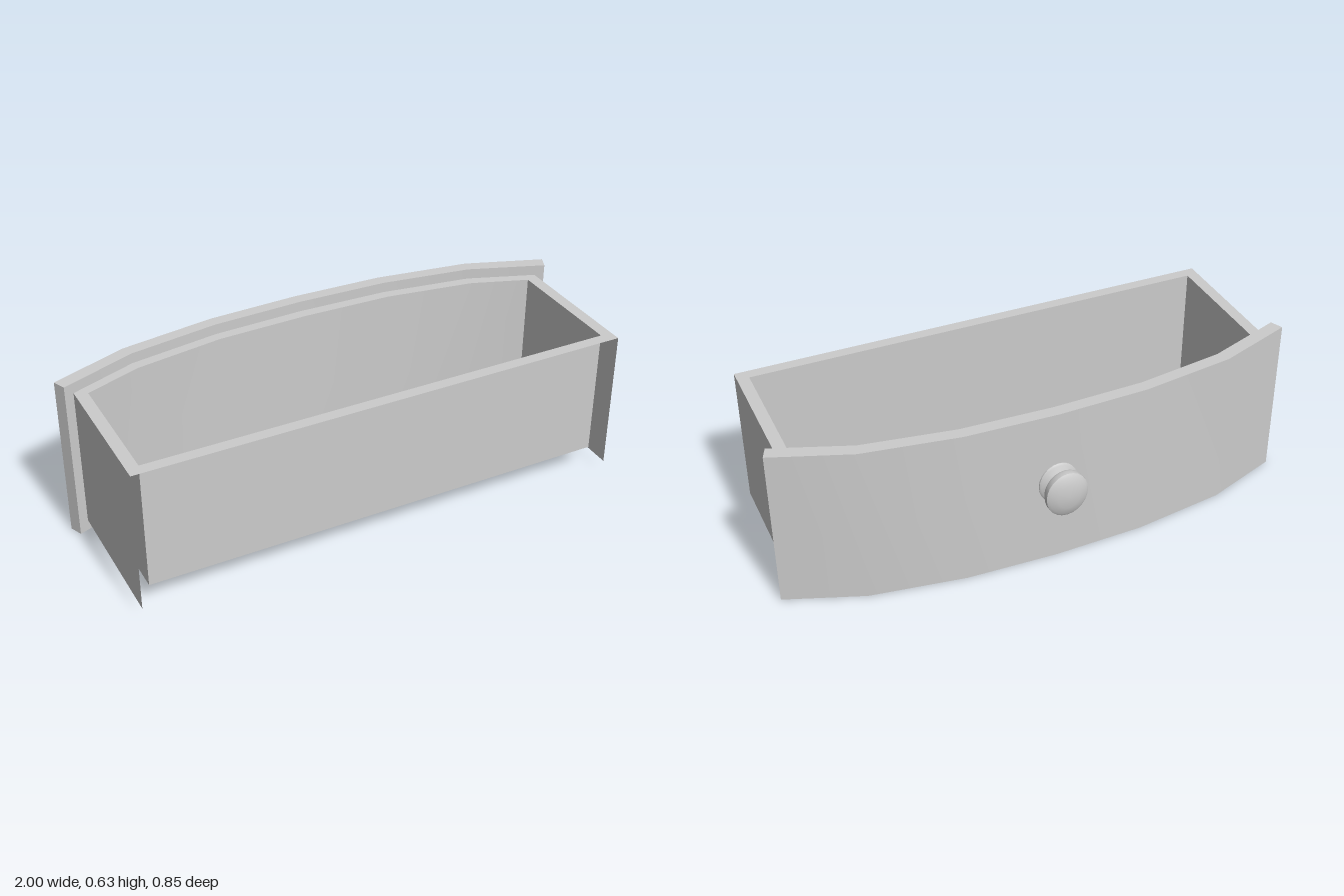
import * as THREE from 'three';
import { toCreasedNormals } from 'three/addons/utils/BufferGeometryUtils.js';

const material = new THREE.MeshStandardMaterial({ color: 0xcccccc, side: THREE.DoubleSide });

// Half outlines in plan as [x, z], from the middle outwards; mirrored to run from -x to +x
const mirror = (half) => [...half.slice(1).reverse().map(([x, z]) => [-x, z]), ...half];
const frontOuter = mirror([[0, -0.33], [0.35, -0.318], [0.71, -0.264], [1, -0.157]]);
const frontInner = mirror([[0, -0.282], [0.35, -0.27], [0.695, -0.217], [0.98, -0.11]]);
const rimOuter = mirror([[0, -0.282], [0.35, -0.27], [0.695, -0.217], [0.945, -0.123], [0.945, 0.427]]);
const rimInner = mirror([[0, -0.24], [0.35, -0.23], [0.69, -0.177], [0.9, -0.1], [0.9, 0.383]]);

const toPoints = (plan) => plan.map(([x, z]) => new THREE.Vector2(x, -z));

// Upright sheet following a plan outline between two heights
function wallSheet(plan, y0, y1) {
  const positions = [];
  for (let i = 0; i < plan.length - 1; i++) {
    const [[ax, az], [bx, bz]] = [plan[i], plan[i + 1]];
    positions.push(ax, y0, az, ax, y1, az, bx, y1, bz, ax, y0, az, bx, y1, bz, bx, y0, bz);
  }
  const geometry = new THREE.BufferGeometry();
  geometry.setAttribute('position', new THREE.Float32BufferAttribute(positions, 3));
  geometry.computeVertexNormals();
  return toCreasedNormals(geometry, 0.5);
}

// Horizontal sheet at a given height
function flatSheet(shape, y) {
  return new THREE.ShapeGeometry(shape).rotateX(-Math.PI / 2).translate(0, y, 0);
}

export function createModel() {
  const group = new THREE.Group();
  const add = (name, geometry) => {
    const mesh = new THREE.Mesh(geometry, material);
    mesh.name = name;
    group.add(mesh);
    return mesh;
  };

  // Bowed front panel
  const panel = new THREE.ExtrudeGeometry(
    new THREE.Shape(toPoints([...frontOuter, ...frontInner.slice().reverse()])),
    { depth: 0.63, bevelEnabled: false }
  ).rotateX(-Math.PI / 2);
  add('frontPanel', toCreasedNormals(panel, 0.5));

  // Top rim, with the tray opening cut out
  const rim = new THREE.Shape(toPoints(rimOuter));
  rim.holes.push(new THREE.Path(toPoints(rimInner)));
  add('rim', flatSheet(rim, 0.59));

  // Tray: inner walls and floor
  add('innerWalls', wallSheet([...rimInner, rimInner[0]], 0.095, 0.59));
  add('floor', flatSheet(new THREE.Shape(toPoints(rimInner)), 0.095));

  // Outer side sheets, hanging a little below the floor
  for (const [name, x] of [['leftSide', 0.945], ['rightSide', -0.945]]) {
    add(name, wallSheet([[x, -0.123], [x, 0.427]], 0.042, 0.59));
  }

  // Turned knob: flange, flared neck and domed cap as [radius, distance outwards]
  const profile = [
    [0.085, -0.005], [0.085, 0.002], [0.078, 0.008], [0.045, 0.014], [0.04, 0.018],
    [0.042, 0.032], [0.05, 0.048], [0.088, 0.049], [0.092, 0.06], [0.091, 0.076],
    [0.08, 0.083], [0.05, 0.091], [0, 0.097],
  ].map(([r, d]) => new THREE.Vector2(r, d));
  const knob = add('knob', toCreasedNormals(
    new THREE.LatheGeometry(profile, 24).rotateX(-Math.PI / 2).scale(0.88, 1, 1), 0.6));
  knob.position.set(0, 0.335, -0.33);

  return group;
}
